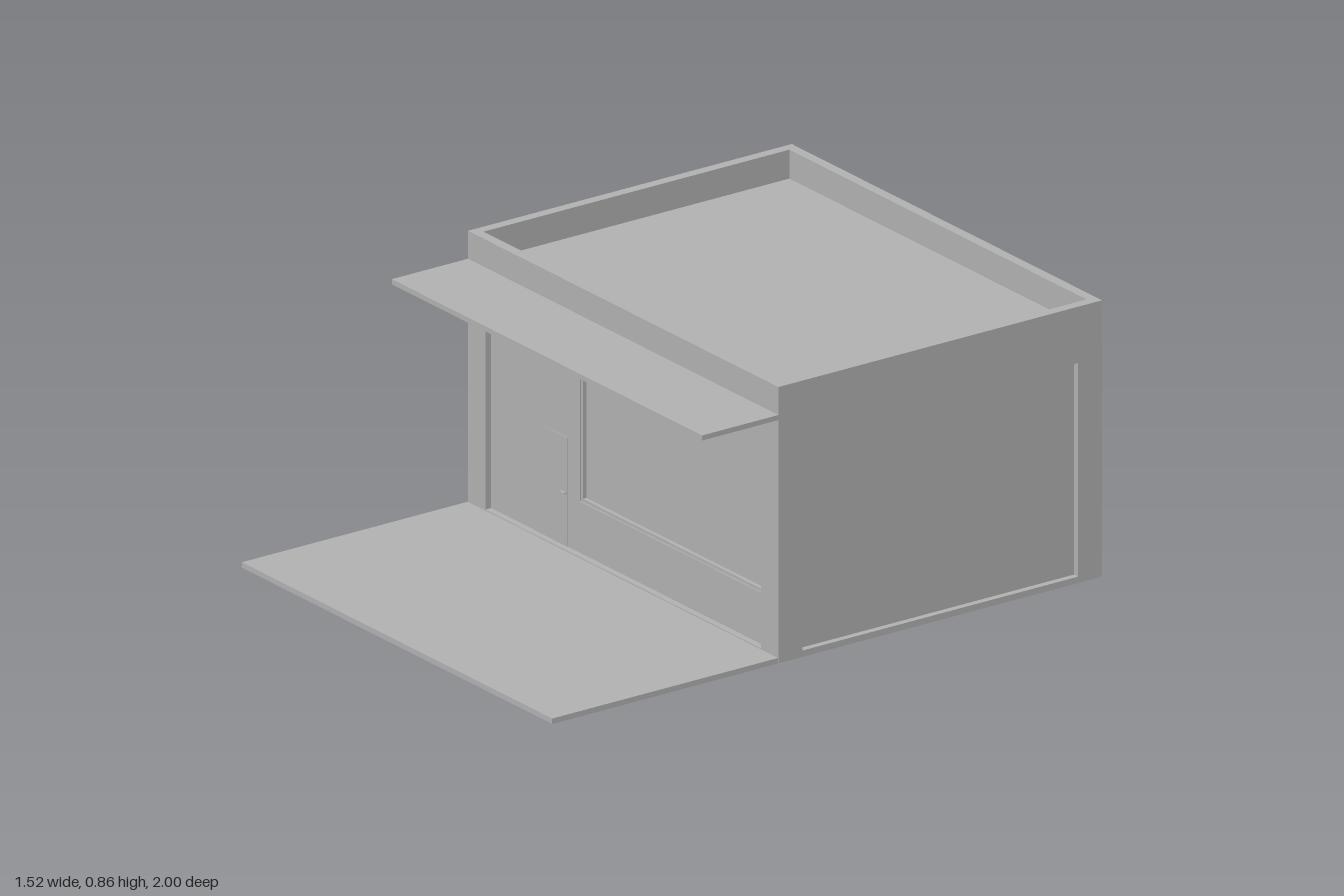
import * as THREE from 'three';

const X = 0.762, ZF = 0.19, ZB = -0.97;      // footprint of the building
const FLOOR = 0.02, HEAD = 0.685, TOP = 0.86; // main heights
const POST = 0.086, RECESS = 0.02, WALL = 0.025;

export function createModel() {
  const model = new THREE.Group();
  const grey = new THREE.MeshStandardMaterial({ color: 0xb2b2b2 });

  const add = (name, geometry, parent = model) => {
    const mesh = new THREE.Mesh(geometry, grey);
    mesh.name = name;
    parent.add(mesh);
    return mesh;
  };
  // box given by its limits
  const box = (name, x0, x1, y0, y1, z0, z1, parent) => {
    const mesh = add(name, new THREE.BoxGeometry(x1 - x0, y1 - y0, z1 - z0), parent);
    mesh.position.set((x0 + x1) / 2, (y0 + y1) / 2, (z0 + z1) / 2);
    return mesh;
  };
  const rect = (Type, x0, x1, y0, y1) => new Type().moveTo(x0, y0).lineTo(x1, y0).lineTo(x1, y1).lineTo(x0, y1).closePath();
  // rectangular plate with an optional rectangular opening
  const plate = (outer, hole, depth) => {
    const shape = rect(THREE.Shape, ...outer);
    if (hole) shape.holes.push(rect(THREE.Path, ...hole));
    return new THREE.ExtrudeGeometry(shape, { depth, bevelEnabled: false });
  };

  // ground slabs and canopy
  box('floorSlab', -X, X, 0, FLOOR, ZB + 0.004, ZF);
  box('forecourt', -X, X, 0, 0.017, ZF + 0.001, 1);
  box('canopy', -X, X, 0.757, 0.773, ZF - 0.01, 0.463);

  // parapet ring and sunken roof
  const parapet = add('parapet', plate([-X, X, -ZF, -ZB],
    [-X + 0.032, X - 0.032, -ZF + 0.032, -ZB - 0.032], TOP - HEAD));
  parapet.rotation.x = -Math.PI / 2;
  parapet.position.y = HEAD;
  box('roof', -X + 0.03, X - 0.03, 0.75, 0.77, ZB + 0.03, ZF - 0.03);

  // corner posts
  for (const s of [-1, 1]) {
    const x0 = s < 0 ? -X : X - POST;
    box('frontPost', x0, x0 + POST, 0.002, HEAD, ZF - POST, ZF);
    box('backPost', x0, x0 + POST, 0.002, HEAD, ZB, ZB + POST);
  }

  // recessed wall panels; local z = 0 is the panel's outer face
  const wall = (name, halfWidth, x, z, turn, opening) => {
    const group = new THREE.Group();
    group.name = name;
    group.position.set(x, 0, z);
    group.rotation.y = turn;
    const w = halfWidth - 0.03;
    add('wallPanel', plate([-w, w, FLOOR, HEAD], opening, WALL), group).position.z = -WALL;
    if (opening) {
      const [a, b, c, d] = opening, f = 0.01;
      add('windowFrame', plate(opening, [a + f, b - f, c + f, d - f], 0.012), group).position.z = -0.016;
      box('windowPane', a, b, c, d, -WALL - 0.005, -WALL + 0.002, group);
    }
    model.add(group);
    return group;
  };
  const zMid = (ZF + ZB) / 2, halfZ = (ZF - ZB) / 2;
  const front = wall('frontWall', X, 0, ZF - RECESS, 0, [-0.24, 0.66, 0.18, 0.61]);
  wall('backWall', X, 0, ZB + RECESS, Math.PI, [-0.324, -0.02, 0.176, 0.378]);
  wall('leftWall', halfZ, X - RECESS, zMid, Math.PI / 2, null);
  wall('rightWall', halfZ, -X + RECESS, zMid, -Math.PI / 2, [-0.55 - zMid, 0.075 - zMid, 0.18, 0.61]);

  // door, nearly flush with the front panel
  box('door', -0.445, -0.3, FLOOR, 0.36, -0.005, 0.002, front);
  box('doorHandle', -0.325, -0.303, 0.183, 0.188, 0, 0.01, front);

  // drainpipe on the back, bending into the wall near its top
  const path = new THREE.CurvePath();
  const v = (y, z) => new THREE.Vector3(-0.37, y, z);
  path.add(new THREE.LineCurve3(v(0.02, -0.991), v(0.61, -0.991)));
  path.add(new THREE.QuadraticBezierCurve3(v(0.61, -0.991), v(0.637, -0.991), v(0.64, -0.968)));
  path.add(new THREE.LineCurve3(v(0.64, -0.968), v(0.64, -0.94)));
  add('drainpipe', new THREE.TubeGeometry(path, 64, 0.008, 12));
  const cap = add('pipeEnd', new THREE.CircleGeometry(0.008, 12));
  cap.rotation.x = Math.PI / 2;
  cap.position.set(-0.37, 0.02, -0.991);

  return model;
}
